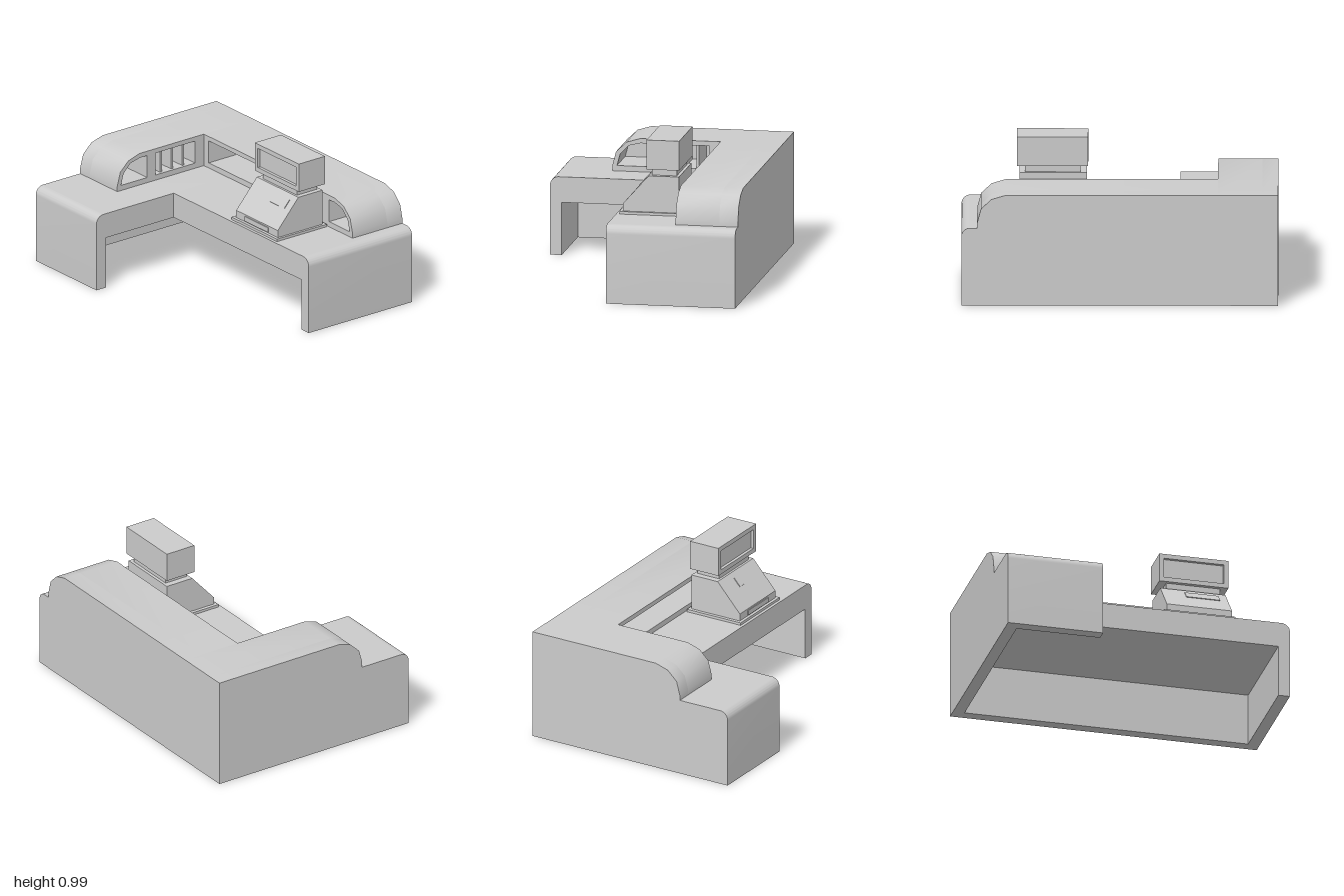
import * as THREE from 'three';
import { toCreasedNormals } from 'three/addons/utils/BufferGeometryUtils.js';

const material = new THREE.MeshStandardMaterial({ color: 0xcccccc });

// Key dimensions
const DESK = 0.505, UNDER = 0.34, TOP = 0.72, WALL = 0.075;
const RIGHT = 0.72, BACK = -1;

function add(group, name, geometry) {
  const mesh = new THREE.Mesh(geometry, material);
  mesh.name = name;
  group.add(mesh);
  return mesh;
}

// Box given by its min and max on each axis
function box(group, name, [x0, x1], [y0, y1], [z0, z1]) {
  const g = new THREE.BoxGeometry(x1 - x0, y1 - y0, z1 - z0);
  g.translate((x0 + x1) / 2, (y0 + y1) / 2, (z0 + z1) / 2);
  return add(group, name, g);
}

const polygon = pts => new THREE.Shape(pts.map(p => new THREE.Vector2(...p)));

function extrude(shape, depth, curveSegments = 6) {
  const g = new THREE.ExtrudeGeometry(shape, { depth, bevelEnabled: false, curveSegments });
  return toCreasedNormals(g, 0.72);
}

// Each arm is profiled in (u, y), u running outward to the arm's free end.
// The back arm runs toward -x, the side arm toward +z.
const toBack = (g, z) => g.rotateY(Math.PI).translate(0, 0, z);
const toSide = (g, x) => g.rotateY(-Math.PI / 2).translate(x, 0, 0);

// Worktop with a rounded edge turning down into the end panel
function worktop(start, end, depth) {
  const r = 0.055;
  const s = new THREE.Shape();
  s.moveTo(start, UNDER);
  s.lineTo(end - WALL, UNDER);
  s.lineTo(end - WALL, 0);
  s.lineTo(end, 0);
  s.lineTo(end, DESK - r);
  s.absarc(end - r, DESK - r, r, 0, Math.PI / 2, false);
  s.lineTo(start, DESK);
  s.closePath();
  return extrude(s, depth);
}

// Raised ledge outline, rounded off toward its free end
function ledgeShape(start, end) {
  return polygon([
    [start, DESK], [end, DESK], [end, 0.54], [end - 0.024, 0.63],
    [end - 0.09, 0.693], [end - 0.18, TOP], [start, TOP],
  ]);
}

// Two storage openings: a rounded one at the end and a long rectangular one
function ledgeWithOpenings(start, end, longStart, depth) {
  const s = ledgeShape(start, end);
  const lo = 0.54, hi = 0.69;
  s.holes.push(
    polygon([[end - 0.24, lo], [end - 0.03, lo], [end - 0.05, 0.615],
      [end - 0.105, 0.672], [end - 0.18, hi], [end - 0.24, hi]]),
    polygon([[longStart, lo], [end - 0.305, lo], [end - 0.305, hi], [longStart, hi]]),
  );
  return extrude(s, depth);
}

function createCounter() {
  const counter = new THREE.Group();
  counter.name = 'counter';

  // Worktops with end panels
  add(counter, 'backWorktop', toBack(worktop(-RIGHT, 0.73, 0.62), -0.38));
  add(counter, 'sideWorktop', toSide(worktop(-0.38, 1, 0.83), RIGHT));

  // Outer walls below the worktops
  box(counter, 'backWall', [-0.655, RIGHT], [0, UNDER], [BACK, BACK + WALL]);
  box(counter, 'sideWall', [RIGHT - WALL, RIGHT], [0, UNDER], [BACK + WALL, 1 - WALL]);

  // Ledges: a front layer with openings and a solid layer behind it
  const pocket = 0.28;
  add(counter, 'backLedge',
    toBack(ledgeWithOpenings(-RIGHT, 0.375, -0.25, pocket), -0.62));
  add(counter, 'backLedgeRear',
    toBack(extrude(ledgeShape(-RIGHT, 0.375), 0.38 - pocket), -0.62 - pocket));
  add(counter, 'sideLedge',
    toSide(ledgeWithOpenings(-0.62, 0.9, -0.57, pocket), 0.32 + pocket));
  add(counter, 'sideLedgeRear',
    toSide(extrude(ledgeShape(-0.62, 0.9), 0.4 - pocket), RIGHT));

  // Dividers in the back ledge's long opening
  for (const x of [-0.01, 0.08, 0.17]) {
    box(counter, 'shelfDivider', [x - 0.008, x + 0.008], [0.54, 0.69], [-0.9, -0.64]);
  }
  return counter;
}

function createRegister() {
  const register = new THREE.Group();
  register.name = 'cashRegister';
  const midZ = 0.42;

  box(register, 'basePlate', [-0.09, 0.31], [DESK, 0.522], [0.185, 0.65]);

  // Sloped body
  const body = extrude(polygon([
    [-0.07, 0.52], [0.29, 0.52], [0.29, 0.755], [0.095, 0.755], [-0.07, 0.57],
  ]), 0.425);
  add(register, 'body', body.translate(0, 0, 0.208));

  // Panel on the slope and drawer at its foot
  const panel = add(register, 'slopePanel', new THREE.BoxGeometry(0.066, 0.008, 0.22));
  panel.position.set(0.047, 0.702, 0.47);
  panel.rotation.z = Math.atan2(0.185, 0.165);
  box(register, 'drawer', [-0.076, -0.05], [0.528, 0.56], [0.3, 0.54]);

  // Neck
  box(register, 'neck', [0.11, 0.27], [0.755, 0.8], [midZ - 0.17, midZ + 0.18]);

  // Display head, with a screen set back behind a frame on the operator's side
  const head = [[0.2, 0.8], [0.65, 0.8], [0.65, 0.99], [0.2, 0.99]];
  const frame = polygon(head);
  frame.holes.push(polygon([[0.23, 0.83], [0.62, 0.83], [0.62, 0.96], [0.23, 0.96]]));
  add(register, 'screenFrame', toSide(extrude(frame, 0.02), 0.105));
  box(register, 'displayHead', [0.105, 0.295], [0.8, 0.99], [0.2, 0.65]);
  return register;
}

export function createModel() {
  const model = new THREE.Group();
  model.name = 'checkoutCounter';
  model.add(createCounter(), createRegister());
  return model;
}
